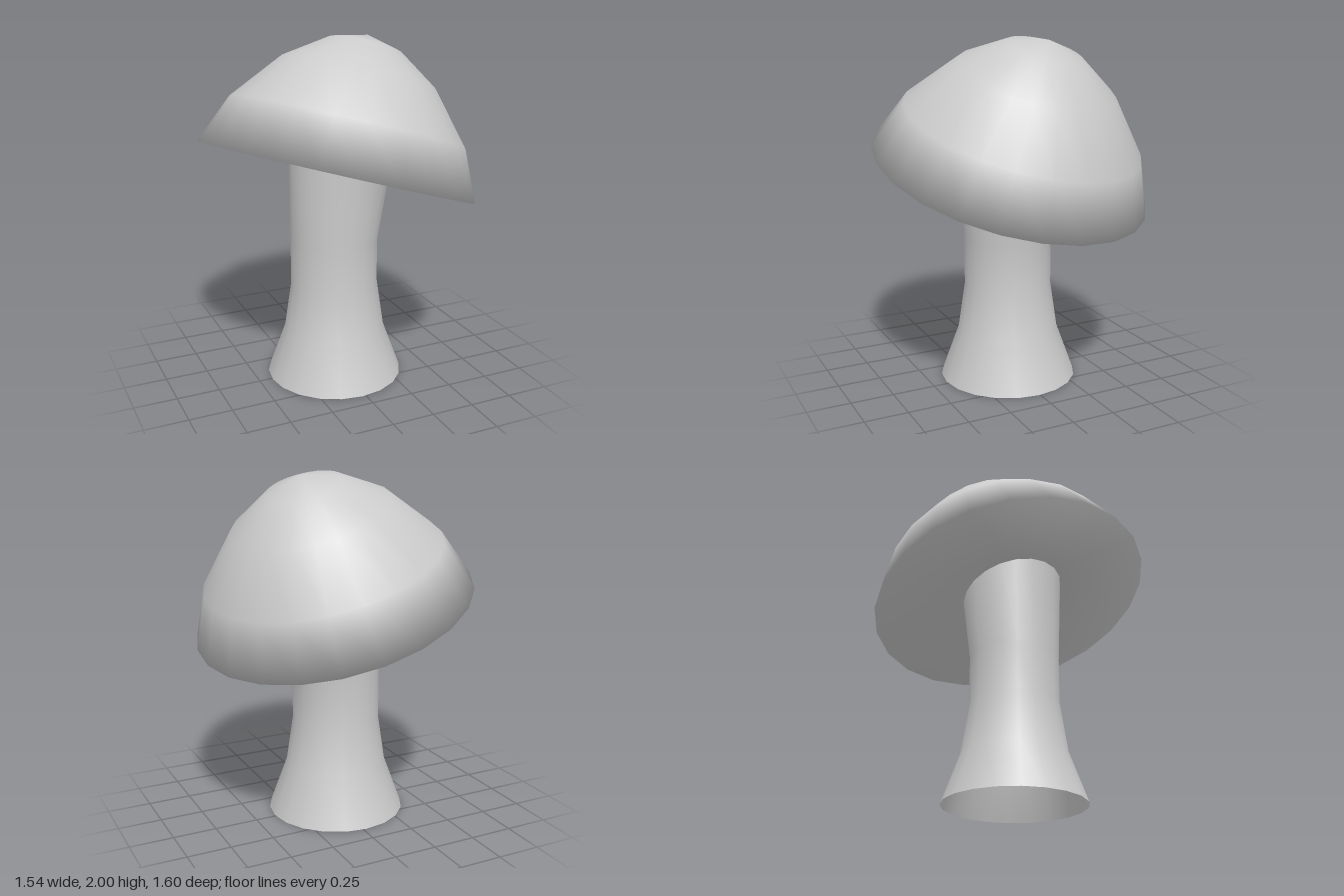
import * as THREE from 'three';
import { mergeVertices } from 'three/addons/utils/BufferGeometryUtils.js';

const material = new THREE.MeshStandardMaterial({ color: 0xcccccc, side: THREE.DoubleSide });

// Slope of the tilted cap: y falls towards +x and rises towards +z
const SLOPE_X = -0.32, SLOPE_Z = 0.14, CAP_Y = 1.23;

// Turned surface with welded seam and poles, so it shades smoothly all over
function turned(name, points, sides, bend) {
  const profile = points.map(([r, y]) => new THREE.Vector2(r, y));
  let geometry = new THREE.LatheGeometry(profile, sides);
  geometry.deleteAttribute('uv');
  geometry.deleteAttribute('normal');
  geometry = mergeVertices(geometry);
  if (bend) bend(geometry.attributes.position);
  geometry.computeVertexNormals();
  const mesh = new THREE.Mesh(geometry, material);
  mesh.name = name;
  return mesh;
}

function createCap() {
  // Slightly hollow underside out to the rim, then the dome up to the crown
  const cap = turned('cap', [
    [0, 0.085], [0.29, 0.055], [0.81, 0],
    [0.688, 0.29], [0.45, 0.579], [0.215, 0.74], [0, 0.8],
  ], 23);
  cap.geometry.rotateY(-0.02);
  const axis = new THREE.Vector3(-SLOPE_X, 1, -SLOPE_Z).normalize();
  cap.quaternion.setFromUnitVectors(new THREE.Vector3(0, 1, 0), axis);
  cap.position.y = CAP_Y;
  return cap;
}

function createStem() {
  // Flared foot, slim waist and a top that widens into the cap; open at both ends
  const top = 1.295;
  const profile = [[0.4, 0], [0.298, 0.28], [0.255, 0.57], [0.255, 0.85], [0.289, top]];
  return turned('stem', profile, 20, (pos) => {
    for (let i = 0; i < pos.count; i++) {
      const y = pos.getY(i);
      const isTop = y > top - 0.01;
      const x = pos.getX(i) + (isTop ? 0.012 : -0.022);
      const z = pos.getZ(i) + 0.012;
      // The top ring follows the slope of the cap
      pos.setXYZ(i, x, isTop ? y + SLOPE_X * x + SLOPE_Z * z : y, z);
    }
  });
}

export function createModel() {
  const model = new THREE.Group();
  model.name = 'mushroom';
  model.add(createStem(), createCap());
  return model;
}
